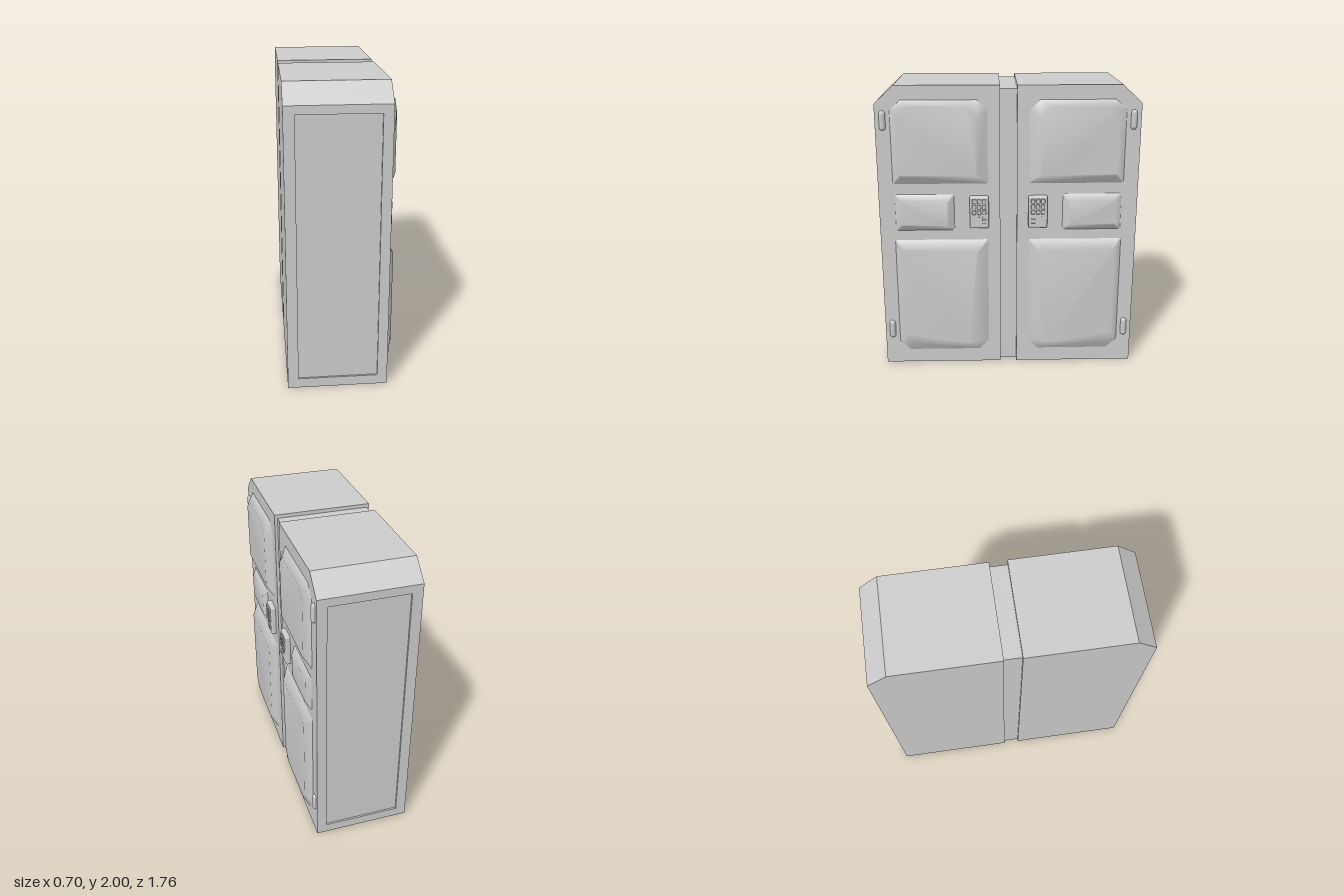
import * as THREE from 'three';
import { RoundedBoxGeometry } from 'three/addons/geometries/RoundedBoxGeometry.js';

const material = new THREE.MeshStandardMaterial({ color: 0xcccccc });
const BACK = -0.355, FRONT = 0.3; // depth range of the cabinet body

function add(parent, name, geometry, x = 0, y = 0, z = 0) {
  const mesh = new THREE.Mesh(geometry, material);
  mesh.name = name;
  mesh.position.set(x, y, z);
  parent.add(mesh);
  return mesh;
}

function extrude(points, depth, hole) {
  const shape = new THREE.Shape(points.map(p => new THREE.Vector2(...p)));
  if (hole) shape.holes.push(new THREE.Path(hole.map(p => new THREE.Vector2(...p))));
  return new THREE.ExtrudeGeometry(shape, { depth, bevelEnabled: false });
}

const rect = (x0, y0, x1, y1) => [[x0, y0], [x1, y0], [x1, y1], [x0, y1]];

// Rectangle with cut corners, counter-clockwise: cb at the bottom, ct at the top
const cutRect = ([x0, y0, x1, y1], cb, ct) => [
  [x0 + cb, y0], [x1 - cb, y0], [x1, y0 + cb], [x1, y1 - ct],
  [x1 - ct, y1], [x0 + ct, y1], [x0, y1 - ct], [x0, y0 + cb]];

// Pressed panel: an outer loop on the door, a smaller loop raised in front, and a cap
function pressedPanel(outer, inner, height, cb, ct) {
  const lower = cutRect(outer, cb, ct), upper = cutRect(inner, cb, ct), n = lower.length;
  const positions = [], index = [];
  lower.forEach(p => positions.push(...p, 0));
  upper.forEach(p => positions.push(...p, height));
  for (let i = 0; i < n; i++) {
    const j = (i + 1) % n;
    index.push(i, j, n + j, i, n + j, n + i);
    if (i > 0 && i < n - 1) index.push(n, n + i, n + i + 1);
  }
  const geometry = new THREE.BufferGeometry();
  geometry.setAttribute('position', new THREE.Float32BufferAttribute(positions, 3));
  geometry.setIndex(index);
  geometry.computeVertexNormals();
  return geometry;
}

function createKeypad() {
  const keypad = new THREE.Group();
  keypad.name = 'keypad';
  add(keypad, 'keypadCase', new RoundedBoxGeometry(0.13, 0.225, 0.05, 2, 0.012), 0, 0, 0.008);
  for (let row = 0; row < 3; row++)
    for (let col = -1; col <= 1; col++)
      add(keypad, 'key', new RoundedBoxGeometry(0.027, 0.03, 0.016, 1, 0.004),
        col * 0.034, 0.08 - row * 0.038, 0.036);
  add(keypad, 'enterKey', new RoundedBoxGeometry(0.032, 0.03, 0.016, 1, 0.004), -0.033, -0.06, 0.036);
  for (let col = -1; col <= 1; col++)
    add(keypad, 'indicator', new THREE.BoxGeometry(0.008, 0.006, 0.006), col * 0.022, -0.034, 0.033);
  return keypad;
}

// One cabinet: door towards +z, hinged outer side towards +x
function createCabinet(name) {
  const cabinet = new THREE.Group();
  cabinet.name = name;

  // Body with the sloping top corner
  add(cabinet, 'body', extrude(
    [[0.057, 0], [0.868, 0], [0.868, 1.88], [0.88, 1.88], [0.75, 2], [0.057, 2]],
    FRONT - BACK), 0, 0, BACK);

  // Frame around the sunken side panel
  const frame = extrude(rect(-FRONT, 0, -BACK, 1.88), 0.012, rect(-0.235, 0.065, 0.285, 1.825));
  add(cabinet, 'sideFrame', frame, 0.868).rotation.y = Math.PI / 2;

  // Raised door pressings
  add(cabinet, 'upperDoorPanel', pressedPanel(
    [0.14, 1.34, 0.78, 1.905], [0.21, 1.4, 0.73, 1.865], 0.042, 0.01, 0.07), 0, 0, FRONT);
  add(cabinet, 'middleDoorPanel', pressedPanel(
    [0.37, 1.01, 0.77, 1.265], [0.41, 1.05, 0.73, 1.225], 0.03, 0.01, 0.01), 0, 0, FRONT);
  add(cabinet, 'lowerDoorPanel', pressedPanel(
    [0.14, 0.1, 0.78, 0.94], [0.21, 0.17, 0.73, 0.87], 0.045, 0.07, 0.01), 0, 0, FRONT);

  // Hinges on the outer edge
  for (const y of [0.265, 1.77])
    add(cabinet, 'hinge', new THREE.CapsuleGeometry(0.022, 0.09, 4, 12), 0.83, y, FRONT - 0.003);

  const keypad = createKeypad();
  keypad.position.set(0.2, 1.142, FRONT);
  cabinet.add(keypad);
  return cabinet;
}

export function createModel() {
  const model = new THREE.Group();
  model.name = 'twinCabinet';

  const first = createCabinet('rearCabinet');
  const second = createCabinet('frontCabinet');
  second.scale.x = -1;
  model.add(first, second);

  // Recessed strip joining the two cabinets
  add(model, 'joiningStrip', new THREE.BoxGeometry(0.12, 1.96, 0.62), 0, 0.995, -0.03);

  // Doors face the +x side
  model.rotation.y = Math.PI / 2;
  const root = new THREE.Group();
  root.name = 'cabinets';
  root.add(model);
  return root;
}
